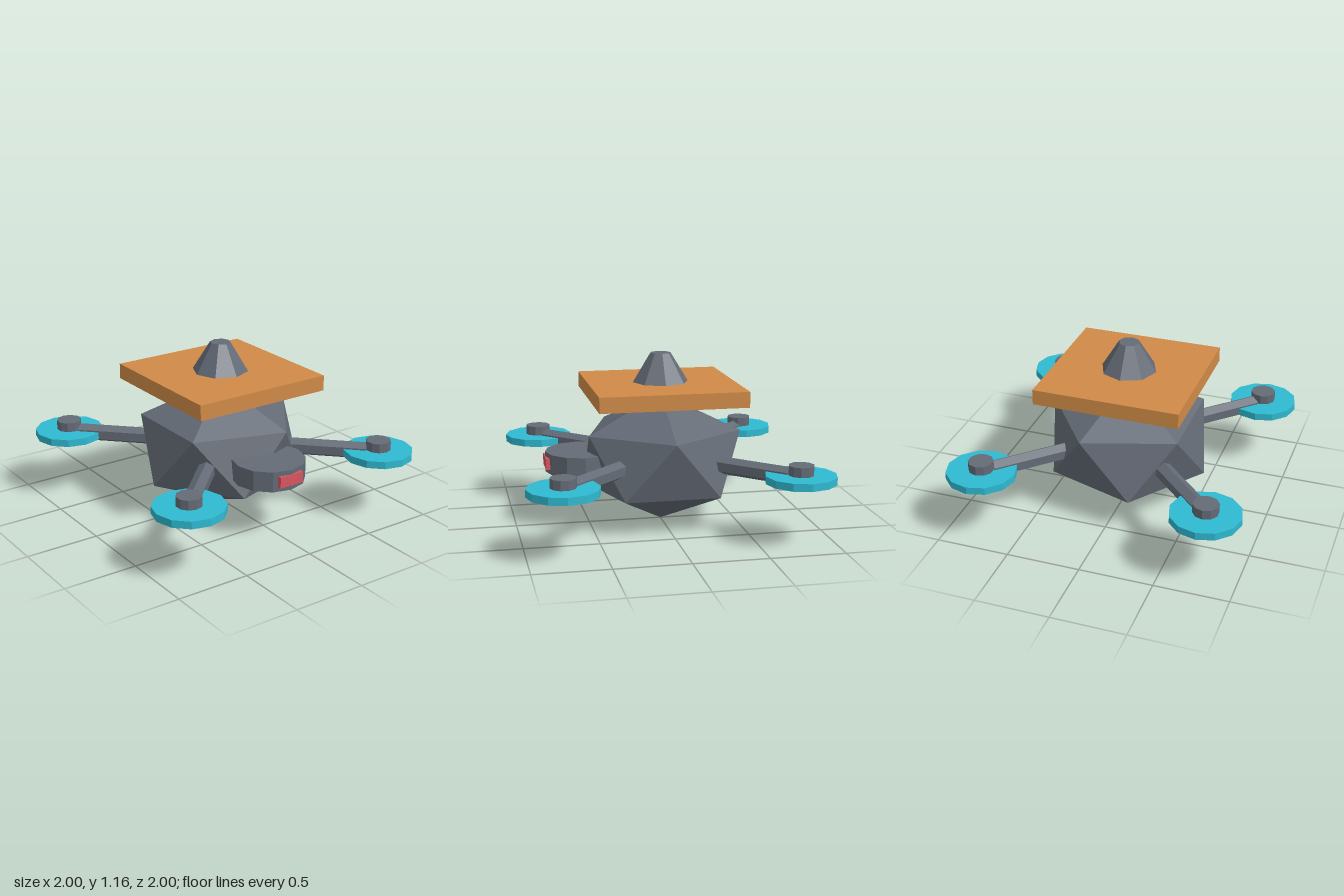
import * as THREE from 'three';

const flat = (name, color) => {
  const m = new THREE.MeshStandardMaterial({ color, flatShading: true });
  m.name = name;
  return m;
};

// Twenty-sided hull: two staggered five-point rings between two tips
function hullGeometry(radius, yLow, yHigh, yTop) {
  const ring = (y, turn) => Array.from({ length: 5 }, (_, i) => {
    const a = (i + turn) * Math.PI * 2 / 5;
    return [radius * Math.cos(a), y, radius * Math.sin(a)];
  });
  const upper = ring(yHigh, 0), lower = ring(yLow, 0.5);
  const top = [0, yTop, 0], bottom = [0, 0, 0];
  const pos = [];
  for (let i = 0; i < 5; i++) {
    const j = (i + 1) % 5;
    pos.push(...top, ...upper[j], ...upper[i]);
    pos.push(...upper[i], ...upper[j], ...lower[i]);
    pos.push(...lower[i], ...upper[j], ...lower[j]);
    pos.push(...bottom, ...lower[i], ...lower[j]);
  }
  const g = new THREE.BufferGeometry();
  g.setAttribute('position', new THREE.Float32BufferAttribute(pos, 3));
  g.computeVertexNormals();
  return g;
}

export function createModel() {
  const model = new THREE.Group();
  model.name = 'drone';
  const grey = flat('slate grey', 0x646b76);
  const orange = flat('orange', 0xd08b47);
  const teal = flat('teal', 0x2fbad1);
  const red = flat('red', 0xd9555f);

  const add = (parent, name, geometry, material, x, y, z) => {
    const mesh = new THREE.Mesh(geometry, material);
    mesh.name = name;
    mesh.position.set(x, y, z);
    parent.add(mesh);
    return mesh;
  };

  // Body with the square deck and beacon on top
  add(model, 'hull', hullGeometry(0.545, 0.245, 0.64, 0.885), grey, 0, 0, 0);
  add(model, 'deck', new THREE.BoxGeometry(0.99, 0.105, 0.99), orange, 0, 0.9125, 0);
  add(model, 'beacon', new THREE.CylinderGeometry(0.07, 0.19, 0.197, 8), grey, 0, 1.0635, 0);

  // Sensor pod at the front with its red window
  add(model, 'sensorPod', new THREE.CylinderGeometry(0.245, 0.245, 0.138, 12), grey, 0, 0.443, 0.55);
  add(model, 'sensorWindow', new THREE.BoxGeometry(0.18, 0.075, 0.06), red, 0, 0.443, 0.769);

  // Four diagonal arms, each with a rotor disc and hub
  const inner = 0.35, outer = 1.007;
  const armGeometry = new THREE.CylinderGeometry(0.06, 0.06, outer - inner, 6).rotateX(Math.PI / 2);
  const rotorGeometry = new THREE.CylinderGeometry(0.235, 0.235, 0.05, 12);
  const hubGeometry = new THREE.CylinderGeometry(0.085, 0.085, 0.09, 10);
  for (const sx of [1, -1]) {
    for (const sz of [1, -1]) {
      const side = (sz > 0 ? 'front' : 'back') + (sx > 0 ? 'Left' : 'Right');
      const mid = (inner + outer) / 2 * Math.SQRT1_2;
      const arm = add(model, side + 'Arm', armGeometry, grey, sx * mid, 0.446, sz * mid);
      arm.rotation.y = Math.atan2(sx, sz);
      add(model, side + 'Rotor', rotorGeometry, teal, sx * 0.765, 0.441, sz * 0.765);
      add(model, side + 'Hub', hubGeometry, grey, sx * 0.765, 0.485, sz * 0.765);
    }
  }
  return model;
}
